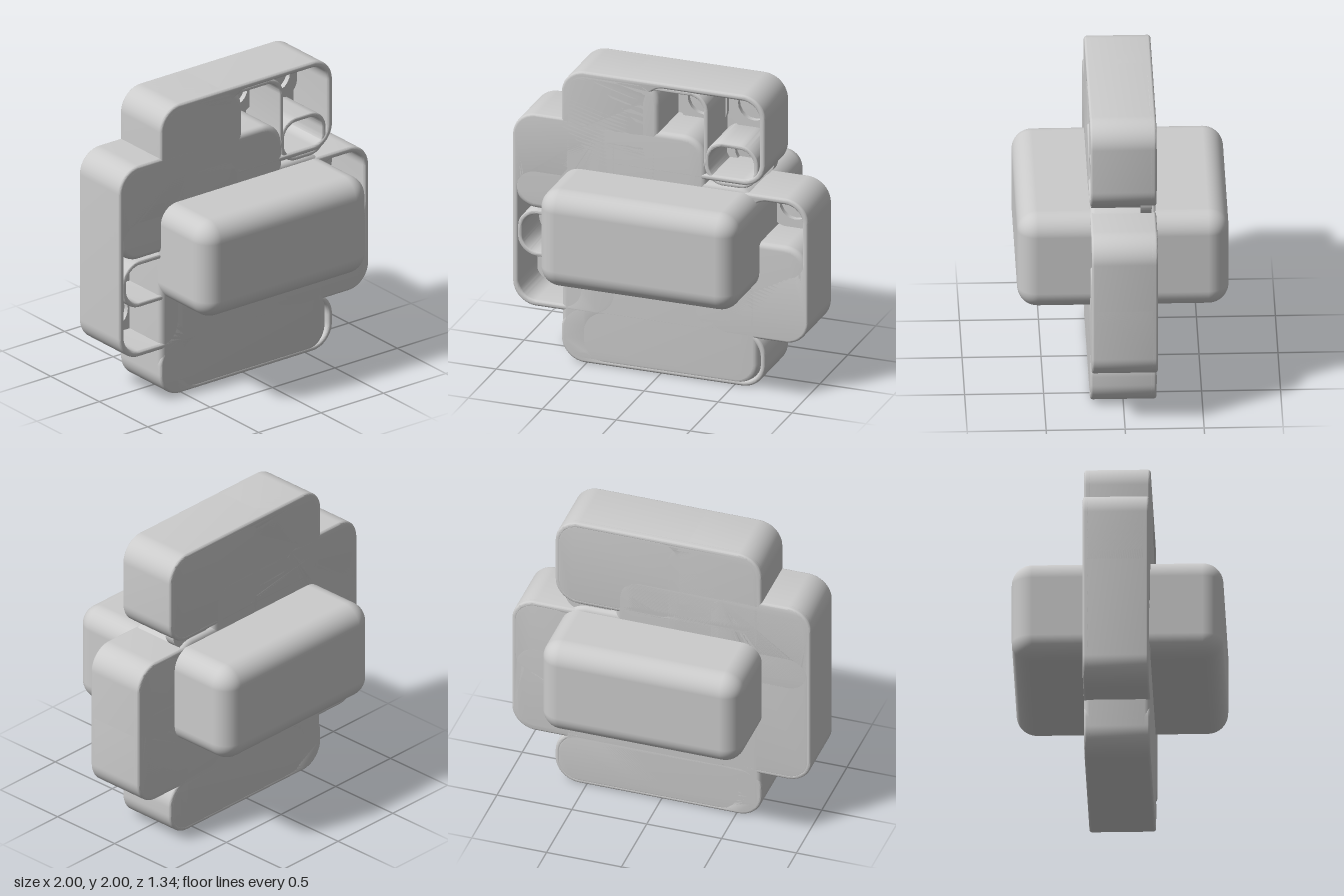
import * as THREE from 'three';
import { toCreasedNormals } from 'three/addons/utils/BufferGeometryUtils.js';
import { RoundedBoxGeometry } from 'three/addons/geometries/RoundedBoxGeometry.js';

const HALF = 0.21; // half thickness of the upright cross
const FLOOR = -0.14; // floor height inside the open cells

// Rounded rectangle outline
function roundRect(Target, x0, x1, y0, y1, r) {
  const s = new Target();
  s.moveTo(x0 + r, y0);
  s.lineTo(x1 - r, y0);
  s.absarc(x1 - r, y0 + r, r, -Math.PI / 2, 0, false);
  s.lineTo(x1, y1 - r);
  s.absarc(x1 - r, y1 - r, r, 0, Math.PI / 2, false);
  s.lineTo(x0 + r, y1);
  s.absarc(x0 + r, y1 - r, r, Math.PI / 2, Math.PI, false);
  s.lineTo(x0, y0 + r);
  s.absarc(x0 + r, y0 + r, r, Math.PI, Math.PI * 1.5, false);
  return s;
}

// Extrusion between two depths with softened edges that keep the outline size
function extrude(shape, z0, z1, bevel) {
  const geo = new THREE.ExtrudeGeometry(shape, {
    depth: z1 - z0 - 2 * bevel,
    bevelEnabled: bevel > 0,
    bevelThickness: bevel,
    bevelSize: bevel,
    bevelOffset: -bevel,
    bevelSegments: 4,
    curveSegments: 10,
  });
  geo.translate(0, 0, z0 + bevel);
  return toCreasedNormals(geo, 0.7);
}

export function createModel() {
  const group = new THREE.Group();
  const material = new THREE.MeshStandardMaterial({ color: 0xcccccc });
  const add = (name, geo) => {
    const mesh = new THREE.Mesh(geo, material);
    mesh.name = name;
    group.add(mesh);
    return mesh;
  };

  // Long block running front to back through the middle
  add('crossBlock', new RoundedBoxGeometry(1.34, 0.66, 1.34, 6, 0.13)).position.y = 1;

  // Solid slabs: x0, x1, y0, y1, corner radius
  const slabs = {
    lowerBody: [-0.67, 0.66, 0, 1.36, 0.16],
    upperLeftBody: [-1, 0.31, 1.01, 1.66, 0.16],
    topBody: [-0.67, -0.01, 1.2, 2, 0.16],
    rightBody: [0.2, 1, 0.34, 1, 0.16],
  };
  for (const [name, rect] of Object.entries(slabs)) {
    add(name, extrude(roundRect(THREE.Shape, ...rect), -HALF, HALF, 0.035));
  }

  // Hollow arms: an outer wall with an opening, closed by a back plate
  const frames = {
    topArm: [[-0.67, 0.71, 1.38, 2, 0.16], [-0.1, 0.67, 1.42, 1.96, 0.12]],
    rightArm: [[0.3, 1, 0.34, 1.33, 0.16], [0.6, 0.96, 0.8, 1.29, 0.12]],
    leftArm: [[-1, -0.3, 0.34, 1.66, 0.16], [-0.96, -0.55, 0.38, 1.25, 0.12]],
    bottomArm: [[-0.67, 0.71, 0, 0.38, 0.16], [-0.5, 0.675, 0.035, 0.345, 0.13]],
  };
  for (const [name, [outer, inner]] of Object.entries(frames)) {
    const wall = roundRect(THREE.Shape, ...outer);
    wall.holes.push(roundRect(THREE.Path, ...inner));
    add(name + 'Wall', extrude(wall, -HALF, HALF, 0.016));
    add(name + 'Back', extrude(roundRect(THREE.Shape, ...outer), -HALF, -0.145, 0.03));
  }

  // Thin rounded dividers between neighbouring cells
  const t = 0.03;
  const dividers = [
    [-0.3, 0.32, 1.4, 1.97, 0.13],
    [0.295, 0.66, 1.355, 1.65, 0.13],
    [-0.97, -0.4, 0.68, 1, 0.14],
  ];
  for (const [x0, x1, y0, y1, r] of dividers) {
    const ring = roundRect(THREE.Shape, x0, x1, y0, y1, r);
    ring.holes.push(roundRect(THREE.Path, x0 + t, x1 - t, y0 + t, y1 - t, r - t));
    add('cellDivider', extrude(ring, FLOOR - 0.04, HALF - 0.005, 0.01));
  }

  // Cell floors, each with a round recess
  const cells = [[0.17, 1.79], [0.51, 1.8], [0.49, 1.48], [0.79, 1.16], [-0.79, 0.84], [-0.79, 0.52]];
  for (const [x, y] of cells) {
    const h = 0.16;
    const floor = roundRect(THREE.Shape, x - h, x + h, y - h, y + h, 0.1);
    const recess = new THREE.Path();
    recess.absarc(x, y, 0.105, 0, Math.PI * 2, true);
    floor.holes.push(recess);
    add('cellFloor', extrude(floor, -0.18, FLOOR + 0.03, 0));
  }
  return group;
}
